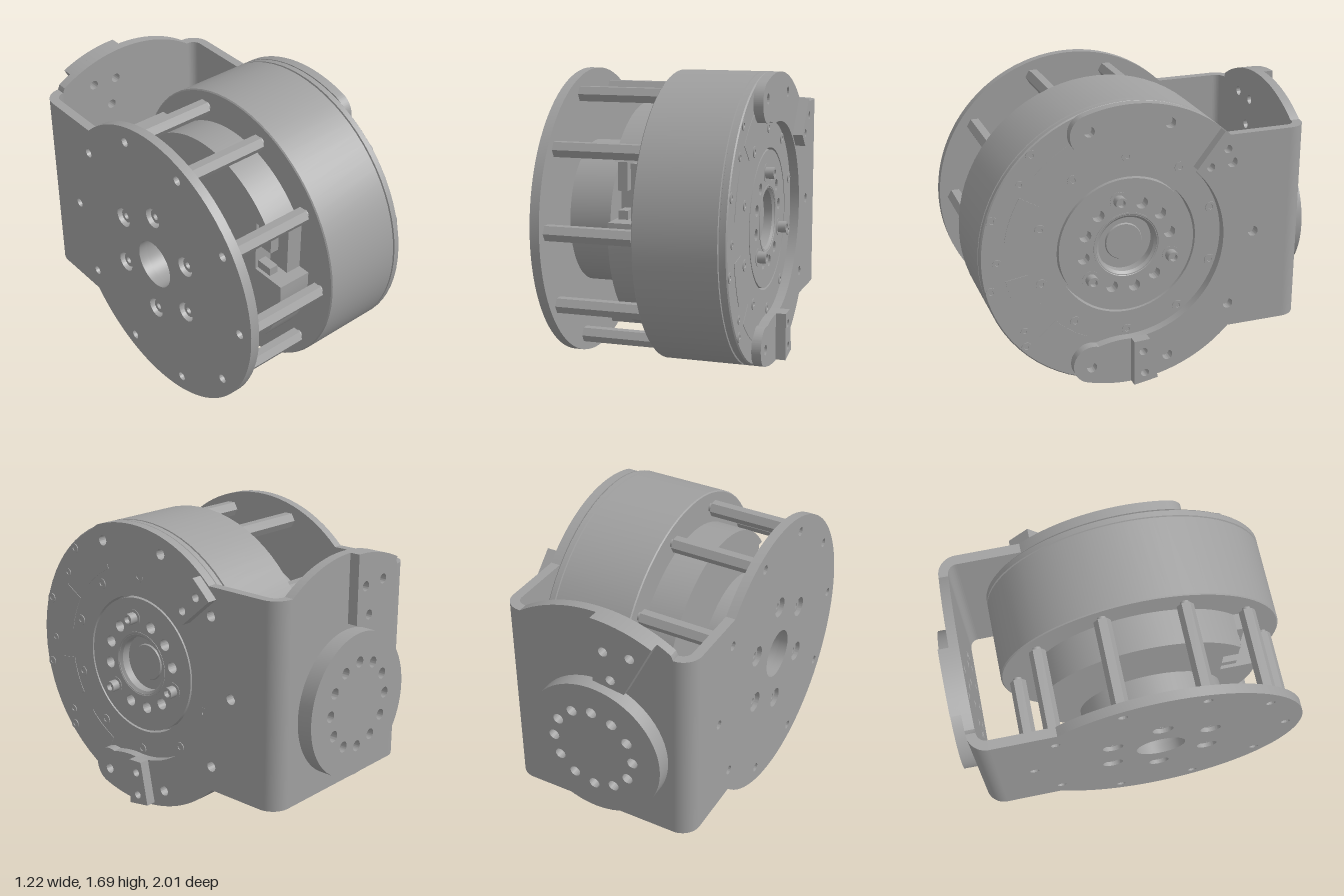
import * as THREE from 'three';
import { toCreasedNormals } from 'three/addons/utils/BufferGeometryUtils.js';

const CX = -0.16, CY = 0.845; // motor axis in side coordinates (X = -z, Y = y)
const rad = d => d * Math.PI / 180;
// Point at radius r, angle a in degrees from the top towards the back
const polar = (r, a) => [CX + r * Math.sin(rad(a)), CY + r * Math.cos(rad(a))];
const steps = (n, start, step) => Array.from({ length: n }, (_, i) => start + i * step);
const boltAngles = steps(10, 18, 36);

export function createModel() {
  const model = new THREE.Group();
  const grey = new THREE.MeshStandardMaterial({ color: 0xa0a0a0 });

  const add = (name, geo, parent = model) => {
    const mesh = new THREE.Mesh(toCreasedNormals(geo, 0.5), grey);
    mesh.name = name;
    parent.add(mesh);
    return mesh;
  };
  const group = name => {
    const g = new THREE.Group();
    g.name = name;
    model.add(g);
    return g;
  };
  const hole = (shape, x, y, r) => shape.holes.push(new THREE.Path().absarc(x, y, r, 0, Math.PI * 2, true));
  const disc = (r, x = CX, y = CY) => new THREE.Shape().absarc(x, y, r, 0, Math.PI * 2, false);
  const poly = pts => new THREE.Shape(pts.map(p => new THREE.Vector2(...p)));
  const extrude = (shape, depth, seg) =>
    new THREE.ExtrudeGeometry(shape, { depth, bevelEnabled: false, curveSegments: seg });
  // Side-profile slab from x0 to x1
  const sideSlab = (name, shape, x0, x1, parent, seg = 36) =>
    add(name, extrude(shape, x1 - x0, seg).rotateY(Math.PI / 2).translate(x0, 0, 0), parent);
  // Back-profile slab from z0 to z1
  const backSlab = (name, shape, z0, z1) => add(name, extrude(shape, z1 - z0, 36).translate(0, 0, z0));
  // Solid of revolution about x, profile as [radius, x]
  const turned = (name, pts, at = [CX, CY], seg = 72, parent = model) =>
    add(name, new THREE.LatheGeometry(pts.map(p => new THREE.Vector2(...p)), seg)
      .rotateZ(-Math.PI / 2).translate(0, at[1], -at[0]), parent);
  const box = (name, x0, x1, y0, y1, z0, z1) =>
    add(name, new THREE.BoxGeometry(x1 - x0, y1 - y0, z1 - z0)
      .translate((x0 + x1) / 2, (y0 + y1) / 2, (z0 + z1) / 2));

  // Motor housing with seam groove and central recess
  turned('motorHousing', [[0, -0.03], [0.838, -0.03], [0.845, -0.024], [0.845, 0.444], [0.836, 0.447],
    [0.836, 0.453], [0.845, 0.456], [0.845, 0.488], [0.838, 0.495], [0.412, 0.495], [0.412, 0.43],
    [0.11, 0.43], [0.105, 0.44], [0, 0.44]]);

  // Output rotor with nine open holes and three bolts
  const rotor = disc(0.4);
  hole(rotor, CX, CY, 0.18);
  steps(12, -10, 30).forEach((a, i) => { if (i % 4) hole(rotor, ...polar(0.26, a), 0.034); });
  sideSlab('outputRotor', rotor, 0.43, 0.495);
  turned('rotorLip', [[0.165, 0.43], [0.198, 0.43], [0.198, 0.498], [0.188, 0.498], [0.165, 0.48], [0.165, 0.43]]);
  const bolts = group('rotorBolts');
  for (const a of [-10, 110, 230]) {
    turned('rotorBolt', [[0.052, 0.494], [0.052, 0.498], [0.034, 0.498], [0.034, 0.548], [0.022, 0.548],
      [0.02, 0.52], [0, 0.52]], polar(0.28, a), 20, bolts);
  }

  // Small socket screws on the motor face
  const screws = group('faceScrews');
  const screw = (r, a, s, x = 0.495) => turned('faceScrew',
    [[s, x - 0.002], [s, x + 0.005], [s * 0.45, x + 0.005], [s * 0.4, x + 0.001], [0, x + 0.001]],
    polar(r, a), 16, screws);
  steps(10, 0, 36).forEach(a => screw(0.53, a, 0.032));
  [-42, -72, -102, -132].forEach(a => screw(0.808, a, 0.03));
  [-54, -90, -126].forEach(a => screw(0.75, a, 0.025));

  // Thin cover panels on the front half of the motor face
  const panels = group('coverPanels');
  for (const a of [-36, -70, -110, -144]) {
    const t0 = rad(90 - a - 11), t1 = rad(90 - a + 11);
    const s = new THREE.Shape().absarc(CX, CY, 0.715, t0, t1, false);
    s.absarc(CX, CY, 0.585, t1, t0, true);
    sideSlab('coverPanel', s, 0.494, 0.498, panels, 8);
  }

  // Rear drum with a connector notch at the front
  const drum = new THREE.Shape().absarc(CX, CY, 0.655, Math.PI - 0.084, 3 * Math.PI - 0.61, false);
  drum.lineTo(-0.6, 1.22);
  drum.lineTo(-0.6, 0.9);
  sideSlab('rearDrum', drum, -0.235, -0.03);
  box('connectorBlock', -0.125, -0.03, 0.9, 1.22, 0.59, 0.74);
  box('upperConnector', -0.215, -0.16, 1.06, 1.22, 0.59, 0.7);
  box('lowerConnector', -0.215, -0.16, 0.9, 0.95, 0.59, 0.7);

  // Hex standoffs with their pins
  const standoffs = group('standoffs');
  for (const a of boltAngles) {
    const [X, Y] = polar(0.75, a);
    add('standoff', new THREE.CylinderGeometry(0.048, 0.048, 0.505, 6)
      .rotateZ(-Math.PI / 2).translate(-0.3025, Y, -X), standoffs);
    add('standoffPin', new THREE.CylinderGeometry(0.025, 0.025, 0.03, 16)
      .rotateZ(-Math.PI / 2).translate(-0.042, Y, -X), standoffs);
  }

  // Full round side plate of the bracket
  const plate = new THREE.Shape().absarc(CX, CY, 0.845, rad(45.7), rad(316.2), false);
  plate.lineTo(0.8, 0.26);
  plate.lineTo(0.8, 1.45);
  hole(plate, CX, CY, 0.145);
  boltAngles.forEach(a => hole(plate, ...polar(0.75, a), 0.027));
  steps(6, 0, 60).forEach(a => hole(plate, ...polar(0.33, a), 0.06));
  sideSlab('sidePlate', plate, -0.61, -0.555);
  const plateScrews = group('plateScrews');
  for (const a of steps(6, 0, 60)) {
    turned('plateScrew', [[0, -0.57], [0.02, -0.57], [0.02, -0.59], [0.042, -0.59], [0.042, -0.55]],
      polar(0.33, a), 16, plateScrews);
  }

  // Bearing drum behind the side plate
  const bearing = disc(0.42);
  hole(bearing, CX, CY, 0.145);
  sideSlab('bearingDrum', bearing, -0.556, -0.31);

  // Crescent arm of the bracket with round lobes
  const arm = new THREE.Shape();
  arm.moveTo(0.8, 0.26);
  arm.lineTo(0.8, 1.45);
  arm.absarc(CX, CY, 0.845, rad(45.7), rad(108), false);
  arm.absarc(...polar(0.73, -18), 0.115, rad(108), rad(288), false);
  arm.quadraticCurveTo(...polar(0.565, -9), ...polar(0.565, 0));
  arm.absarc(CX, CY, 0.565, rad(90), rad(-90), true);
  arm.quadraticCurveTo(...polar(0.565, 189), ...polar(0.615, 198));
  arm.absarc(...polar(0.73, 198), 0.115, rad(72), rad(252), false);
  arm.absarc(CX, CY, 0.845, rad(-108), rad(-43.8), false);
  boltAngles.filter(a => a < 200 || a > 340).forEach(a => hole(arm, ...polar(0.75, a), 0.03));
  sideSlab('crescentArm', arm, 0.495, 0.55);

  // Stop blocks on the arm
  const stops = [
    { pts: [[0.37, 1.495], [0.21, 1.29], [0.29, 1.215], [0.485, 1.385]], holes: [[0.39, 1.39], [0.29, 1.295]] },
    { pts: [[-0.155, 0.285], [-0.155, 0.005], [-0.01, 0.03], [-0.06, 0.29]], holes: [[-0.1, 0.215], [-0.09, 0.075]] },
  ];
  for (const { pts, holes } of stops) {
    const s = poly(pts);
    holes.forEach(h => hole(s, ...h, 0.024));
    sideSlab('stopBlock', s, 0.549, 0.61, model, 12);
  }

  // Rounded bracket corners
  for (const side of [1, -1]) {
    const cx = side > 0 ? 0.44 : -0.5;
    const [a0, a1] = side > 0 ? [0, Math.PI / 2] : [Math.PI / 2, Math.PI];
    const s = new THREE.Shape().absarc(cx, 0.8, 0.11, a0, a1, false);
    s.absarc(cx, 0.8, 0.055, a1, a0, true);
    add('bracketCorner', extrude(s, 1.19, 10).rotateX(-Math.PI / 2).translate(0, 0.26, 0));
  }

  // Back plate with an arched top
  const HX = -0.05, HY = 0.75;
  const hubHoles = steps(12, 0, 30).map(a => [HX + 0.25 * Math.cos(rad(a)), HY + 0.25 * Math.sin(rad(a))]);
  const tabHoles = [[-0.12, 1.41], [-0.28, 1.42], [-0.16, 1.24]];
  const back = new THREE.Shape();
  back.moveTo(-0.5, 0.26);
  back.lineTo(0.44, 0.26);
  back.lineTo(0.44, 1.45);
  back.absarc(HX, HY, 0.85, 0.968, Math.PI - 1.03, false);
  back.lineTo(-0.5, 1.45);
  [...hubHoles, ...tabHoles].forEach(h => hole(back, ...h, 0.028));
  backSlab('backPlate', back, -0.91, -0.855);

  // Round mounting hub and wedge tab on the back
  const hub = disc(0.42, HX, HY);
  hubHoles.forEach(h => hole(hub, ...h, 0.032));
  backSlab('backHub', hub, -1, -0.909);
  const tab = new THREE.Shape().absarc(HX, HY, 0.85, rad(90), rad(115), false);
  tab.lineTo(-0.24, 1.175);
  tab.lineTo(HX, 1.2);
  tabHoles.forEach(h => hole(tab, ...h, 0.028));
  backSlab('backTab', tab, -0.97, -0.909);

  return model;
}
